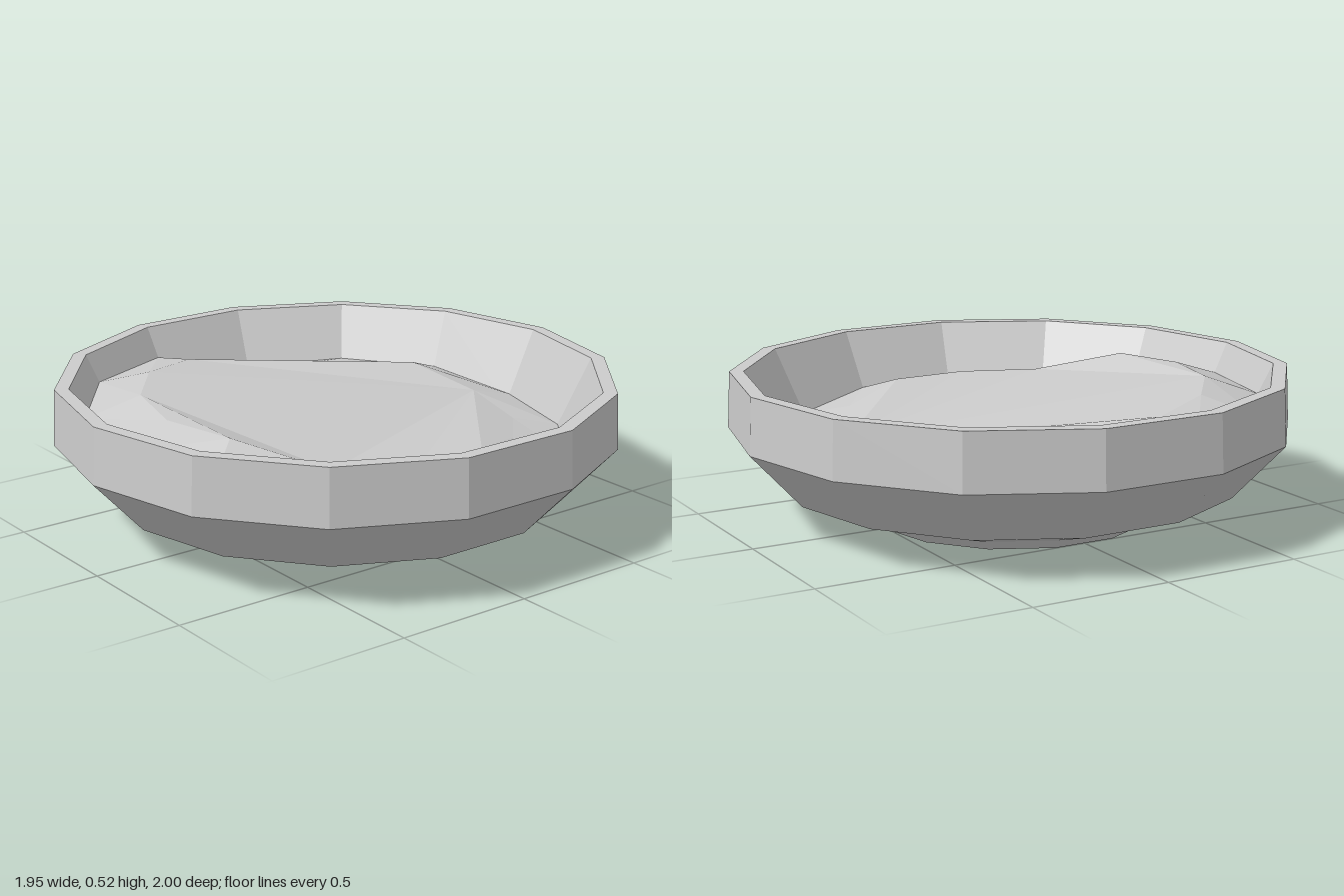
import * as THREE from 'three';

const SIDES = 14;
const RIM_Y = 0.52;
const RIM_R = 0.94;
const WALL_SLOPE = 0.48;

// Radius of the inner wall at a given height
const wallRadius = (y) => RIM_R - (RIM_Y - y) * WALL_SLOPE;

function createBowl(material) {
  // Underside, foot, flared body, upright band, rim, inner wall
  const profile = [
    [0, 0], [0.51, 0], [0.54, 0.035], [0.815, 0.12], [1, 0.32],
    [0.99, RIM_Y], [RIM_R, RIM_Y], [wallRadius(0.25), 0.25],
  ].map(([r, y]) => new THREE.Vector2(r, y));
  const bowl = new THREE.Mesh(new THREE.LatheGeometry(profile, SIDES), material);
  bowl.name = 'bowl';
  return bowl;
}

function createFilling(material) {
  // Heights where the filling meets the wall, starting at the front towards +x
  const edgeHeights = [0.41, 0.38, 0.32, 0.315, 0.315, 0.285, 0.275, 0.285, 0.32, 0.325, 0.315, 0.41, 0.42, 0.41];
  // Uneven inner ring: x, y, z
  const crest = [
    [-0.03, 0.475, 0.69], [0.24, 0.47, 0.62], [0.5, 0.385, 0.4], [0.625, 0.38, 0.14],
    [0.62, 0.38, -0.14], [0.49, 0.33, -0.4], [0.28, 0.31, -0.59], [0, 0.335, -0.645],
    [-0.28, 0.39, -0.58], [-0.5, 0.355, -0.4], [-0.62, 0.36, -0.16], [-0.66, 0.45, 0.19],
    [-0.54, 0.475, 0.44], [-0.31, 0.48, 0.62],
  ];
  const edge = edgeHeights.map((y, i) => {
    const a = (i / SIDES) * Math.PI * 2;
    return [wallRadius(y) * Math.sin(a), y, wallRadius(y) * Math.cos(a)];
  });

  // Sloping border between the wall and the crest
  const index = [];
  for (let i = 0; i < SIDES; i++) {
    const j = (i + 1) % SIDES;
    index.push(i, j, SIDES + j, i, SIDES + j, SIDES + i);
  }
  // Faceted top surface
  const top = [
    [7, 8, 11], [8, 9, 11], [9, 10, 11], [7, 11, 12], [7, 12, 13], [7, 13, 2],
    [13, 0, 1], [13, 1, 2], [7, 2, 3], [7, 3, 4], [7, 4, 5], [7, 5, 6],
  ];
  for (const face of top) index.push(...face.map((k) => SIDES + k));

  const geometry = new THREE.BufferGeometry();
  geometry.setAttribute('position', new THREE.Float32BufferAttribute([...edge, ...crest].flat(), 3));
  geometry.setIndex(index);
  geometry.computeVertexNormals();
  const filling = new THREE.Mesh(geometry, material);
  filling.name = 'filling';
  return filling;
}

export function createModel() {
  const material = new THREE.MeshStandardMaterial({ color: 0xcccccc, flatShading: true });
  const group = new THREE.Group();
  group.name = 'filledBowl';
  group.add(createBowl(material), createFilling(material));
  return group;
}
